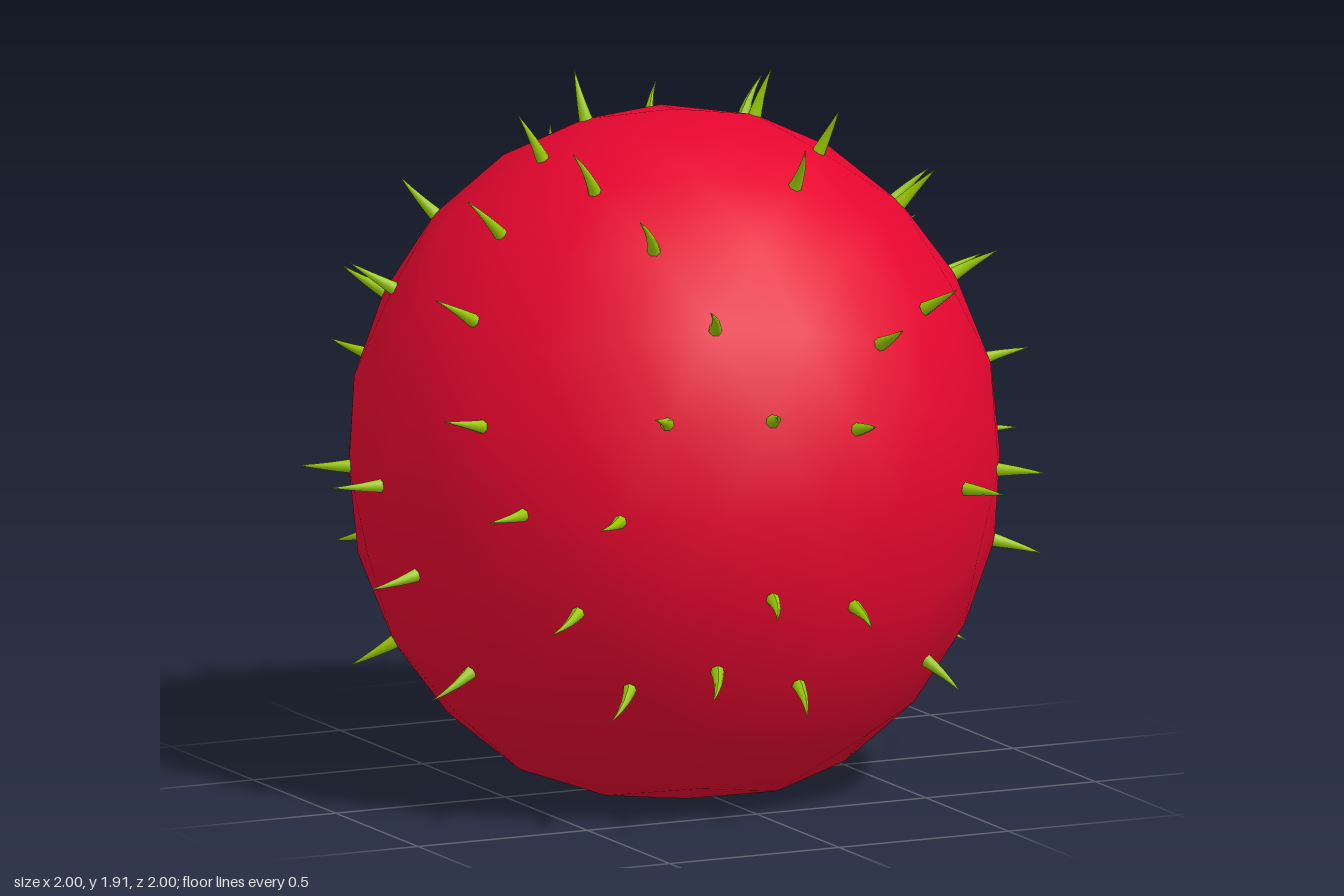
import * as THREE from 'three';
import { mergeVertices } from 'three/addons/utils/BufferGeometryUtils.js';

const CENTER_Y = 0.875;
const RADII = new THREE.Vector3(0.87, 0.945, 0.89);

// Unit sphere of triangles: icosahedron split twice, one corner pointing up
function makeBall() {
  const coarse = new THREE.IcosahedronGeometry(1, 1);
  const points = Array.from(coarse.attributes.position.array);
  const order = Array.from({ length: points.length / 3 }, (_, i) => i);
  const ball = new THREE.PolyhedronGeometry(points, order, 1, 1);
  ball.rotateZ(-Math.atan(2 / (1 + Math.sqrt(5))));
  ball.deleteAttribute('uv');
  ball.deleteAttribute('normal');
  return mergeVertices(ball, 1e-3);
}

// Bent thorn along +y, curving towards +x
function makeThorn() {
  const g = new THREE.CylinderGeometry(0.001, 0.021, 0.148, 7, 4);
  g.translate(0, 0.054, 0);
  const p = g.attributes.position;
  for (let i = 0; i < p.count; i++) {
    const t = Math.max(0, p.getY(i) / 0.128);
    p.setX(i, p.getX(i) + 0.028 * t * t);
  }
  g.computeVertexNormals();
  return g;
}

// Thorns grow on the ball's corners: [latitude, azimuths from +x towards +z]
const THORN_ROWS = [
  [74, [0, -144]],
  [61, [-72, -36, 36, 72, 144, 180]],
  [45, [-144, -96, -48, 0, 24, 120, 168]],
  [29, [-162, -144, -108, -54, -18, 0, 18, 54, 72, 108, 162]],
  [14.5, [-135, -117, -99, -63, 9, 81, 99, 117, 153]],
  [0, [-162, -90, -72, -36, -18, 0, 36, 54, 126, 144, 180]],
  [-14.5, [-135, -117, -81, -45, -9, 27, 81, 99, 135, 171]],
  [-29, [-162, -126, -108, -72, 0, 54, 90, 108, 126, 162]],
];

export function createModel() {
  const model = new THREE.Group();
  model.name = 'spikyBall';

  const red = new THREE.MeshStandardMaterial({ color: 0xe6062f });
  red.name = 'crimson';
  const green = new THREE.MeshStandardMaterial({ color: 0x98c800 });
  green.name = 'limeGreen';

  // Body: squashed ball with a flattened, slightly dented underside
  const ball = makeBall();
  const pos = ball.attributes.position;
  const corners = [];
  for (let i = 0; i < pos.count; i++) corners.push(new THREE.Vector3().fromBufferAttribute(pos, i));
  corners.forEach((c, i) => {
    const v = c.clone().multiply(RADII);
    v.y = Math.max(0, v.y + CENTER_Y);
    if (c.y < -0.99) v.y = 0.03;
    pos.setXYZ(i, v.x, v.y, v.z);
  });
  ball.computeVertexNormals();
  const body = new THREE.Mesh(ball, red);
  body.name = 'body';
  model.add(body);

  // Thorns, all bent the same way around the vertical axis
  const thorns = new THREE.Group();
  thorns.name = 'thorns';
  const thornShape = makeThorn();
  const rad = THREE.MathUtils.degToRad;
  const up = new THREE.Vector3(0, 1, 0);
  for (const [lat, azimuths] of THORN_ROWS) {
    for (const az of azimuths) {
      const want = new THREE.Vector3(
        Math.cos(rad(lat)) * Math.cos(rad(az)), Math.sin(rad(lat)), Math.cos(rad(lat)) * Math.sin(rad(az)));
      const dir = corners.reduce((a, b) => (b.dot(want) > a.dot(want) ? b : a));
      const around = new THREE.Vector3().crossVectors(dir, up).normalize();
      const rise = new THREE.Vector3().crossVectors(around, dir);
      const thorn = new THREE.Mesh(thornShape, green);
      thorn.name = 'thorn';
      thorn.quaternion.setFromRotationMatrix(new THREE.Matrix4().makeBasis(around, dir, rise));
      thorn.position.copy(dir).multiply(RADII);
      thorn.position.y += CENTER_Y;
      thorns.add(thorn);
    }
  }
  model.add(thorns);
  return model;
}
